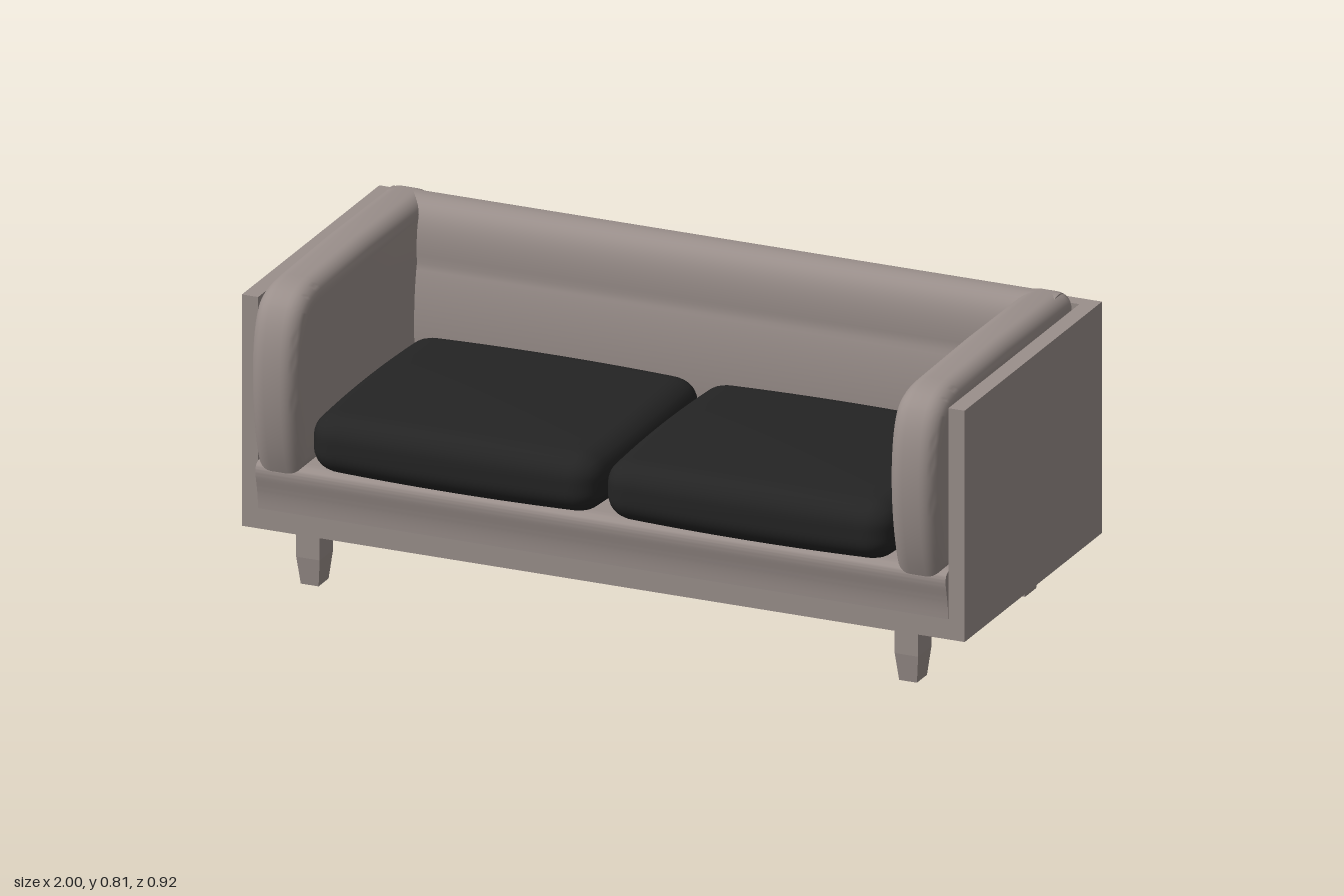
import * as THREE from 'three';
import { toCreasedNormals, mergeVertices } from 'three/addons/utils/BufferGeometryUtils.js';

const fabric = new THREE.MeshStandardMaterial({ color: 0x9a8f8b });
fabric.name = 'taupe upholstery';
const black = new THREE.MeshStandardMaterial({ color: 0x242424 });
black.name = 'black cushion fabric';

export function createModel() {
  const group = new THREE.Group();
  group.name = 'sofa';

  const add = (name, geometry, material, x = 0, y = 0, z = 0) => {
    const mesh = new THREE.Mesh(geometry, material);
    mesh.name = name;
    mesh.position.set(x, y, z);
    group.add(mesh);
  };

  // Box given by its limits on each axis
  const block = (name, [x0, x1], [y0, y1], [z0, z1]) =>
    add(name, new THREE.BoxGeometry(x1 - x0, y1 - y0, z1 - z0), fabric,
      (x0 + x1) / 2, (y0 + y1) / 2, (z0 + z1) / 2);

  // Side outline (z, y) extruded along x, with soft edges kept inside the outline
  const sidePad = (shape, width, bevel) => {
    const geo = new THREE.ExtrudeGeometry(shape, {
      depth: width - 2 * bevel, curveSegments: 14, bevelEnabled: bevel > 0,
      bevelSize: bevel, bevelThickness: bevel, bevelOffset: -bevel, bevelSegments: 7,
    });
    geo.rotateY(-Math.PI / 2);
    geo.translate(width / 2 - bevel, 0, 0);
    return toCreasedNormals(geo, 0.75);
  };

  // Rounded box whose faces bulge a little towards their middles
  const cushion = (w, h, d, r, puff) => {
    let geo = new THREE.BoxGeometry(w, h, d, 40, 14, 36);
    geo.deleteAttribute('uv');
    geo.deleteAttribute('normal');
    geo = mergeVertices(geo);
    const pos = geo.attributes.position;
    const half = new THREE.Vector3(w / 2, h / 2, d / 2);
    const inner = half.clone().subScalar(r);
    const p = new THREE.Vector3(), core = new THREE.Vector3();
    for (let i = 0; i < pos.count; i++) {
      p.fromBufferAttribute(pos, i);
      core.copy(p).clamp(inner.clone().negate(), inner);
      p.sub(core).setLength(r).add(core);
      const u = p.x / half.x, v = p.z / half.z;
      p.y *= 1 - puff * (u * u + v * v) / 2;
      p.x *= 1 - 0.025 * v * v;
      p.z *= 1 - 0.025 * u * u;
      pos.setXYZ(i, p.x, p.y, p.z);
    }
    geo.computeVertexNormals();
    return geo;
  };

  // Outer shell: base, back panel and side panels
  block('base', [-1, 1], [0.145, 0.31], [-0.46, 0.385]);
  block('backPanel', [-1, 1], [0.31, 0.77], [-0.46, -0.42]);
  for (const s of [-1, 1]) {
    block('sidePanel', s < 0 ? [-1, -0.955] : [0.955, 1], [0.31, 0.77], [-0.42, 0.385]);
  }

  // Padded front rail with a soft rolled top
  const rail = new THREE.Shape();
  rail.moveTo(-0.4, 0.2);
  rail.lineTo(0.386, 0.2);
  rail.bezierCurveTo(0.388, 0.26, 0.402, 0.28, 0.402, 0.305);
  rail.bezierCurveTo(0.402, 0.325, 0.39, 0.332, 0.36, 0.332);
  rail.lineTo(-0.4, 0.332);
  add('frontRail', sidePad(rail, 1.91, 0), fabric);

  // Arm pads, bulging over the front and top
  const arm = new THREE.Shape();
  arm.moveTo(-0.415, 0.318);
  arm.lineTo(0.415, 0.318);
  arm.bezierCurveTo(0.472, 0.46, 0.48, 0.69, 0.42, 0.765);
  arm.bezierCurveTo(0.395, 0.795, 0.36, 0.807, 0.3, 0.81);
  arm.lineTo(0, 0.815);
  arm.lineTo(-0.37, 0.812);
  arm.quadraticCurveTo(-0.415, 0.81, -0.415, 0.765);
  for (const s of [-1, 1]) add('armPad', sidePad(arm, 0.135, 0.045), fabric, s * 0.884);

  // Back pad, leaning and rounded at the top
  const back = new THREE.Shape();
  back.moveTo(-0.42, 0.31);
  back.lineTo(-0.285, 0.31);
  back.bezierCurveTo(-0.255, 0.45, -0.265, 0.58, -0.283, 0.65);
  back.bezierCurveTo(-0.275, 0.76, -0.295, 0.812, -0.36, 0.812);
  back.bezierCurveTo(-0.395, 0.812, -0.405, 0.79, -0.42, 0.765);
  add('backPad', sidePad(back, 1.85, 0), fabric);

  // Two seat cushions
  for (const s of [-1, 1]) {
    add('seatCushion', cushion(0.815, 0.175, 0.705, 0.068, 0.13), black, s * 0.407, 0.406, 0.08);
  }

  // Short square legs, tapered in their lower half
  for (const [z, depth] of [[0.32, 0.082], [-0.348, 0.09]]) {
    for (const s of [-1, 1]) {
      const leg = new THREE.BoxGeometry(0.065, 0.15, depth, 1, 2, 1);
      const pos = leg.attributes.position;
      for (let i = 0; i < pos.count; i++) {
        if (pos.getY(i) < -0.01) {
          pos.setX(i, pos.getX(i) * 0.76);
          pos.setZ(i, pos.getZ(i) * 0.75);
        }
      }
      add('leg', toCreasedNormals(leg, 0.1), fabric, s * 0.828, 0.075, z);
    }
  }
  return group;
}
